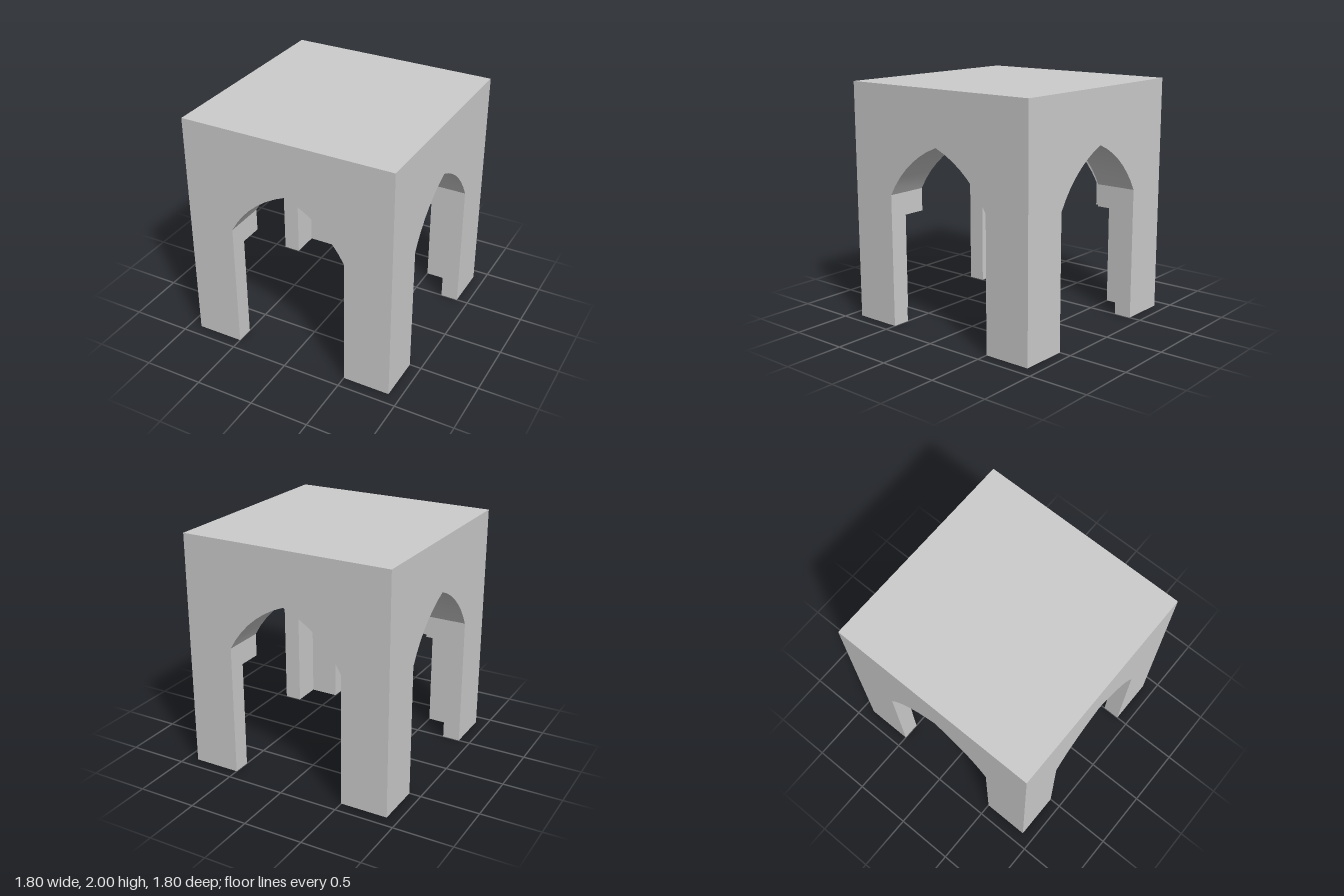
import * as THREE from 'three';
import { toCreasedNormals } from 'three/addons/utils/BufferGeometryUtils.js';

const OUT = 0.9, LEG = 0.75, VAULT = 0.55, HALF = 0.5; // plan distances from the centre
const TOP = 2, CEILING = 1.85, LEDGE = 0.92;           // heights
const APEX = 1.55, RADIUS = 0.95, CX = 0.337, CY = 0.662, STEPS = 7;

const material = new THREE.MeshStandardMaterial({ color: 0xcccccc });

function add(parent, name, geometry) {
  const mesh = new THREE.Mesh(geometry, material);
  mesh.name = name;
  parent.add(mesh);
  return mesh;
}

// Pointed arch outline from left jamb to right jamb, starting at height y0
function archPoints(y0) {
  const a0 = Math.atan2(APEX - CY, CX);
  const a1 = Math.acos((HALF + CX) / RADIUS);
  const right = [];
  for (let i = 0; i <= STEPS; i++) {
    const a = a0 + (a1 - a0) * i / STEPS;
    right.push([i ? RADIUS * Math.cos(a) - CX : 0, i ? CY + RADIUS * Math.sin(a) : APEX]);
  }
  right.push([HALF, y0]);
  const left = right.slice(1).reverse().map(([x, y]) => [-x, y]);
  return [...left, ...right].map(([x, y]) => new THREE.Vector2(x, y));
}

const polygon = pts => new THREE.ShapeGeometry(new THREE.Shape(pts));
const flat = pts => polygon(pts.map(p => new THREE.Vector2(...p))).rotateX(Math.PI / 2);

// Wall face with the arch cut out of it
function wallFace(halfWidth, y0, y1) {
  return polygon([
    new THREE.Vector2(-halfWidth, y0), ...archPoints(y0),
    new THREE.Vector2(halfWidth, y0), new THREE.Vector2(halfWidth, y1),
    new THREE.Vector2(-halfWidth, y1),
  ]);
}

// Underside of the arch, running through the thick upper wall
function soffit() {
  const pos = [], index = [];
  archPoints(LEDGE).forEach((p, i) => {
    pos.push(p.x, p.y, OUT, p.x, p.y, VAULT);
    if (i) {
      const a = 2 * i - 2;
      index.push(a, a + 1, a + 2, a + 2, a + 1, a + 3);
    }
  });
  const g = new THREE.BufferGeometry();
  g.setAttribute('position', new THREE.Float32BufferAttribute(pos, 3));
  g.setIndex(index);
  return toCreasedNormals(g, 0.3);
}

function createSide() {
  const side = new THREE.Group();
  add(side, 'outerWall', wallFace(OUT, 0, TOP)).position.z = OUT;
  add(side, 'innerWall', wallFace(VAULT, LEDGE, CEILING).rotateY(Math.PI)).position.z = VAULT;
  add(side, 'archSoffit', soffit());

  // Thin lower legs: inner faces and jambs
  for (const s of [-1, 1]) {
    add(side, 'legInnerFace', new THREE.PlaneGeometry(LEG - HALF, LEDGE).rotateY(Math.PI))
      .position.set(s * (LEG + HALF) / 2, LEDGE / 2, LEG);
    add(side, 'legJamb', new THREE.PlaneGeometry(OUT - LEG, LEDGE).rotateY(-s * Math.PI / 2))
      .position.set(s * HALF, LEDGE / 2, (OUT + LEG) / 2);
  }

  // L-shaped foot and the ledge where the pier thickens, at one corner
  add(side, 'foot', flat([[HALF, LEG], [LEG, LEG], [LEG, HALF], [OUT, HALF], [OUT, OUT], [HALF, OUT]]));
  add(side, 'ledge', flat([[VAULT, HALF], [LEG, HALF], [LEG, LEG], [HALF, LEG], [HALF, VAULT], [VAULT, VAULT]]))
    .position.y = LEDGE;
  return side;
}

export function createModel() {
  const model = new THREE.Group();
  model.name = 'archedPavilion';
  ['front', 'left', 'back', 'right'].forEach((name, i) => {
    const side = createSide();
    side.name = name + 'Side';
    side.rotation.y = i * Math.PI / 2;
    model.add(side);
  });

  // Flat roof and ceiling
  add(model, 'roof', new THREE.PlaneGeometry(2 * OUT, 2 * OUT).rotateX(-Math.PI / 2)).position.y = TOP;
  add(model, 'ceiling', new THREE.PlaneGeometry(2 * VAULT, 2 * VAULT).rotateX(Math.PI / 2)).position.y = CEILING;
  return model;
}
